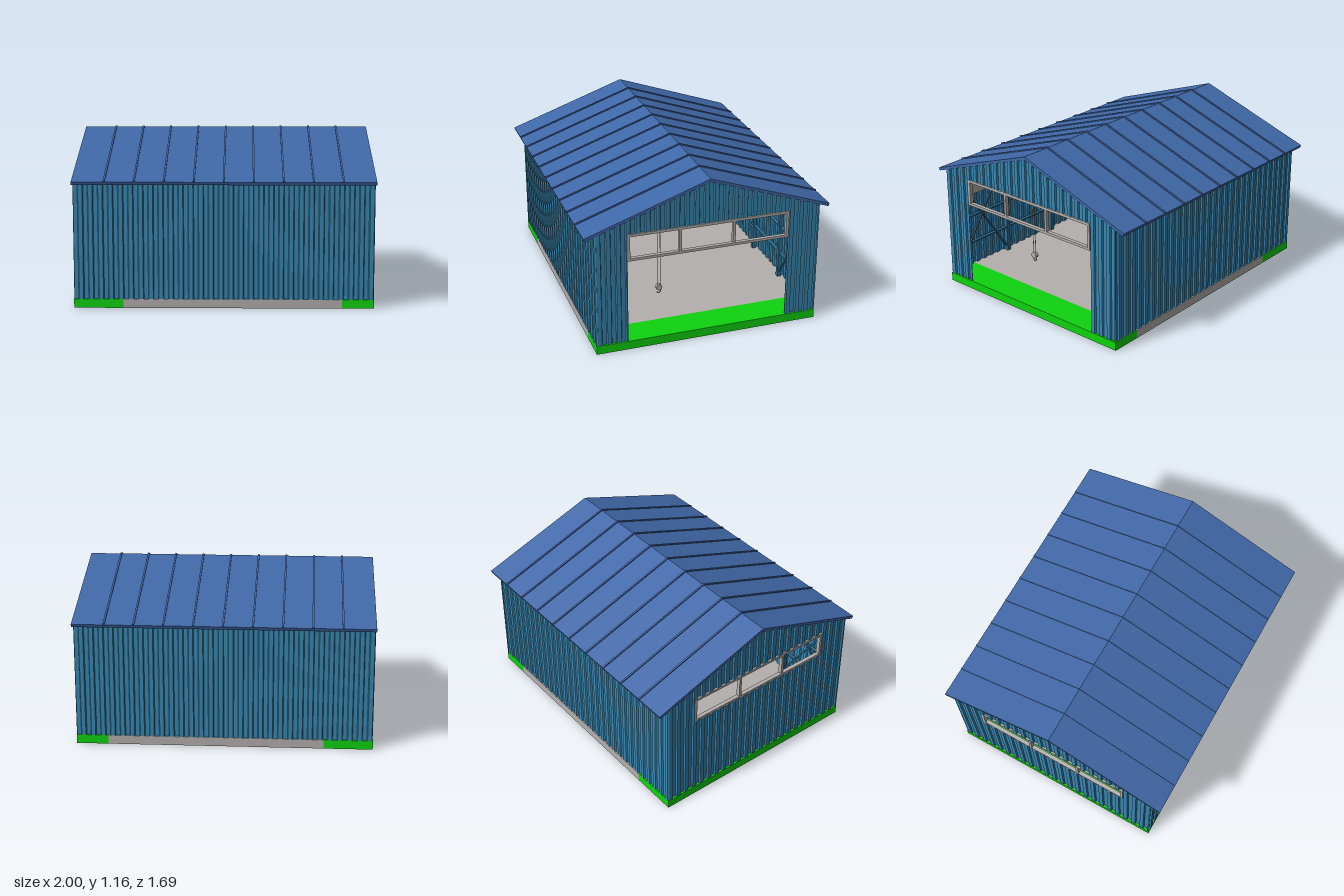
import * as THREE from 'three';

const mat = (name, color, side = THREE.FrontSide) => {
  const m = new THREE.MeshStandardMaterial({ color, side });
  m.name = name;
  return m;
};

export function createModel() {
  const blueWall = mat('wall blue', 0x3a88b2, THREE.DoubleSide);
  const blueRoof = mat('roof blue', 0x4068a8);
  const steel = mat('frame blue', 0x2f6f94);
  const grey = mat('light grey', 0xb4b0ae);
  const green = mat('apron green', 0x0fd40f);

  const model = new THREE.Group();
  model.name = 'workshopHall';
  const FLOOR = 0.06, SLOPE = 0.349, WALL_Z = 0.764, WALL_X = 0.986;
  const roofUnder = z => 1.128 - SLOPE * Math.abs(z);

  const add = (parent, name, geo, material) => {
    const m = new THREE.Mesh(geo, material);
    m.name = name;
    parent.add(m);
    return m;
  };
  const group = name => {
    const g = new THREE.Group();
    g.name = name;
    model.add(g);
    return g;
  };
  // Box given by its x, y and z ranges
  const box = (parent, name, material, [x0, x1], [y0, y1], [z0, z1]) =>
    add(parent, name, new THREE.BoxGeometry(x1 - x0, y1 - y0, z1 - z0), material)
      .position.set((x0 + x1) / 2, (y0 + y1) / 2, (z0 + z1) / 2);
  // Square bar between two points
  const bar = (parent, name, material, a, b, t) => {
    const p = new THREE.Vector3(...a), q = new THREE.Vector3(...b);
    const m = add(parent, name, new THREE.BoxGeometry(t, t, p.distanceTo(q)), material);
    m.position.copy(p).add(q).multiplyScalar(0.5);
    m.lookAt(q);
  };

  // Floor slab with coloured aprons at both ends
  const slab = group('floorSlab');
  box(slab, 'rearApron', green, [-1, -0.67], [0, FLOOR], [-0.775, 0.775]);
  box(slab, 'floor', grey, [-0.67, 0.785], [0, FLOOR], [-0.775, 0.775]);
  box(slab, 'doorApron', green, [0.785, 1], [0, FLOOR], [-0.775, 0.775]);

  // Trapezoidal sheet: depth repeats along u, lo and hi give its vertical edges
  const PITCH = 0.0665, DEPTH = 0.012;
  const knots = [[0, 0], [0.42, 0], [0.5, 1], [0.92, 1], [1, 0]];
  const depthAt = u => {
    const f = u / PITCH - Math.floor(u / PITCH);
    for (let i = 1; i < knots.length; i++) {
      const [a, da] = knots[i - 1], [b, db] = knots[i];
      if (f <= b) return DEPTH * (da + (db - da) * (f - a) / (b - a));
    }
    return 0;
  };
  const sheet = (parent, name, u0, u1, lo, hi, place) => {
    const us = [u0, u1];
    if (u0 < 0 && u1 > 0) us.push(0);
    for (let k = Math.floor(u0 / PITCH); k <= u1 / PITCH; k++)
      for (const [f] of knots.slice(0, 4)) {
        const u = (k + f) * PITCH;
        if (u > u0 + 1e-4 && u < u1 - 1e-4 && Math.abs(u) > 1e-6) us.push(u);
      }
    us.sort((a, b) => a - b);
    const pos = [];
    for (let i = 0; i < us.length - 1; i++) {
      const [a, b] = [us[i], us[i + 1]];
      const p = [[a, lo], [b, lo], [b, hi], [a, hi]].map(([u, f]) => place(u, f(u), depthAt(u)));
      for (const j of [0, 1, 2, 0, 2, 3]) pos.push(...p[j]);
    }
    const geo = new THREE.BufferGeometry();
    geo.setAttribute('position', new THREE.Float32BufferAttribute(pos, 3));
    geo.computeVertexNormals();
    add(parent, name, geo, blueWall);
  };
  const at = y => () => y;

  // Long walls
  const walls = group('walls');
  for (const s of [1, -1])
    sheet(walls, s > 0 ? 'frontWall' : 'backWall', -0.998, 0.998, at(FLOOR), at(roofUnder(WALL_Z)),
      (u, y, d) => [s * u, y, s * (WALL_Z + d)]);

  // Gable walls: the right one is open below its window strip
  const OPEN = 0.557, SILL = 0.65, HEAD = 0.84;
  for (const s of [1, -1]) {
    const side = s > 0 ? 'right' : 'left';
    const place = (u, y, d) => [s * (WALL_X + d), y, -s * u];
    sheet(walls, side + 'GablePier', -0.775, -OPEN, at(FLOOR), roofUnder, place);
    sheet(walls, side + 'GablePier', OPEN, 0.775, at(FLOOR), roofUnder, place);
    sheet(walls, side + 'GableTop', -OPEN, OPEN, at(HEAD), roofUnder, place);
    if (s < 0) sheet(walls, side + 'GableBase', -OPEN, OPEN, at(FLOOR), at(SILL), place);

    // Window strip frame
    const win = group(side + 'WindowFrame');
    const xr = s > 0 ? [0.972, 0.999] : [-0.999, -0.972];
    for (const y of [SILL, HEAD - 0.018]) box(win, 'rail', grey, xr, [y, y + 0.018], [-OPEN, OPEN]);
    for (const z of [-OPEN + 0.009, -0.172, 0.2, OPEN - 0.009])
      box(win, 'mullion', grey, xr, [SILL + 0.018, HEAD - 0.018], [z - 0.009, z + 0.009]);
  }

  // Roof: a folded slab with standing seams
  const folded = (name, width, x, lift, thick) => {
    const e = 0.845, top = z => 1.15 + lift - SLOPE * z;
    const shape = new THREE.Shape([[0, top(0)], [-e, top(e)], [-e + 0.007, top(e) - thick],
      [0, top(0) - thick - 0.002], [e - 0.007, top(e) - thick], [e, top(e)]]
      .map(p => new THREE.Vector2(...p)));
    const geo = new THREE.ExtrudeGeometry(shape, { depth: width, bevelEnabled: false });
    geo.translate(0, 0, -width / 2).rotateY(-Math.PI / 2).translate(x, 0, 0);
    add(roof, name, geo, blueRoof);
  };
  const roof = group('roof');
  folded('roofSlab', 2, 0, 0, 0.02);
  for (let i = -4; i <= 4; i++) folded('roofSeam', 0.012, i * 0.196, 0.008, 0.014);

  // Inner steel frame: columns, rafters, girts and cross bracing
  const frame = group('steelFrame');
  const bays = [-0.95, -0.47, 0, 0.47, 0.95];
  for (const s of [1, -1]) {
    const zc = s * 0.74;
    bays.forEach((x, i) => {
      bar(frame, 'column', steel, [x, FLOOR, zc], [x, 0.84, zc], 0.03);
      bar(frame, 'rafter', steel, [x, roofUnder(0.74) - 0.02, zc], [x, 1.105, 0], 0.03);
      if (i === 0 || i === 3) {
        const x2 = bays[i + 1];
        bar(frame, 'brace', steel, [x, 0.08, zc], [x2, 0.8, zc], 0.01);
        bar(frame, 'brace', steel, [x, 0.8, zc], [x2, 0.08, zc], 0.01);
      }
    });
    for (const y of [0.25, 0.455]) box(frame, 'girt', steel, [-0.97, 0.97], [y - 0.005, y + 0.005], [zc - 0.012, zc + 0.012]);
  }
  for (const y of [0.25, 0.455]) box(frame, 'gableGirt', steel, [-0.985, -0.965], [y - 0.005, y + 0.005], [-0.75, 0.75]);

  // Overhead crane: runways, end carriages, two girders, trolley and hook
  const crane = group('overheadCrane');
  for (const z of [-0.68, 0.68]) {
    box(crane, 'runway', grey, [-0.94, 0.94], [0.66, 0.72], [z - 0.02, z + 0.02]);
    box(crane, 'endCarriage', grey, [0.48, 0.88], [0.72, 0.765], [z - 0.025, z + 0.025]);
  }
  for (const x of [0.57, 0.8]) {
    box(crane, 'girder', grey, [x - 0.02, x + 0.02], [0.742, 0.81], [-0.68, 0.68]);
    box(crane, 'girderRail', grey, [x - 0.006, x + 0.006], [0.81, 0.82], [-0.66, 0.66]);
  }
  box(crane, 'trolley', grey, [0.55, 0.82], [0.82, 0.835], [0.19, 0.3]);
  box(crane, 'hoist', grey, [0.64, 0.73], [0.77, 0.82], [0.215, 0.275]);
  for (const z of [0.235, 0.255]) bar(crane, 'cable', grey, [0.685, 0.25, z], [0.685, 0.78, z], 0.003);
  const block = add(crane, 'hookBlock', new THREE.CylinderGeometry(0.022, 0.022, 0.025, 16), grey);
  block.rotation.z = Math.PI / 2;
  block.position.set(0.685, 0.25, 0.245);
  const hook = add(crane, 'hook', new THREE.TorusGeometry(0.013, 0.004, 6, 14, Math.PI * 1.5), grey);
  hook.rotation.set(0, Math.PI / 2, Math.PI);
  hook.position.set(0.685, 0.218, 0.245);

  return model;
}
